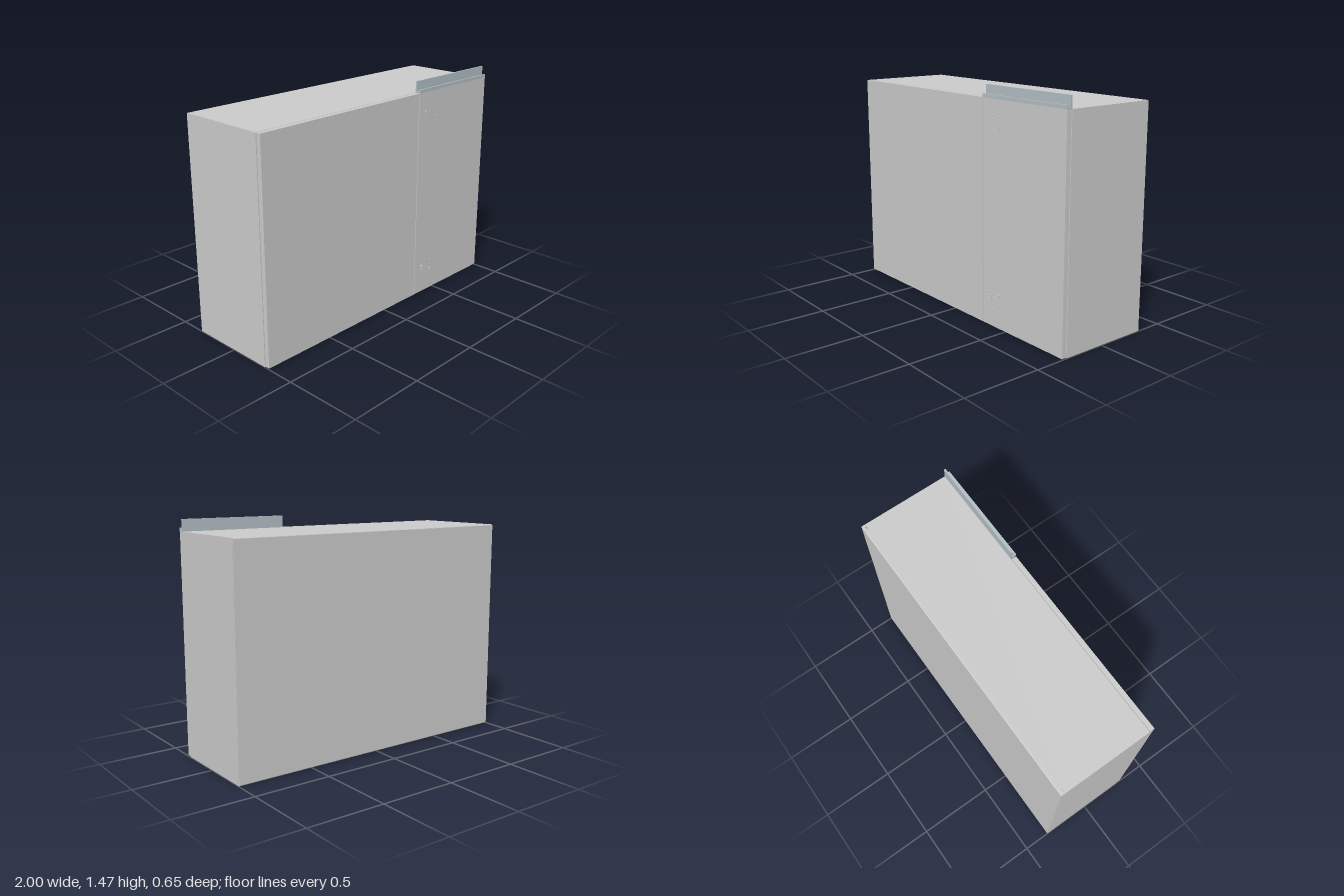
import * as THREE from 'three';

const grey = new THREE.MeshStandardMaterial({ color: 0xcccccc });
const steel = new THREE.MeshStandardMaterial({ color: 0xb4c0c6 });
const H = 1.4, BACK = -0.325, FRONT = 0.282, T = 0.008;

export function createModel() {
  const model = new THREE.Group();
  const add = (name, geometry, material = grey) => {
    const mesh = new THREE.Mesh(geometry, material);
    mesh.name = name;
    model.add(mesh);
    return mesh;
  };
  // box given by its limits on each axis
  const box = (name, [x0, x1], [y0, y1], [z0, z1], material) =>
    add(name, new THREE.BoxGeometry(x1 - x0, y1 - y0, z1 - z0), material)
      .position.set((x0 + x1) / 2, (y0 + y1) / 2, (z0 + z1) / 2);
  // profile of [z, y] points drawn out along x
  const alongX = (points, x0, x1) =>
    new THREE.ExtrudeGeometry(new THREE.Shape(points.map(p => new THREE.Vector2(...p))),
      { depth: x1 - x0, bevelEnabled: false }).rotateY(-Math.PI / 2).translate(x1, 0, 0);

  // back panel with softened upper and lower edges
  const c = 0.006;
  add('backPanel', alongX([
    [BACK + c, 0], [BACK + T, 0], [BACK + T, H], [BACK + c, H],
    [BACK + 0.002, H - 0.002], [BACK, H - c], [BACK, c], [BACK + 0.002, 0.002],
  ], -0.998, 0.998));

  // side panels and floor
  for (const s of [-1, 1]) {
    const xs = s < 0 ? [-1, -1 + T] : [1 - T, 1];
    box(s < 0 ? 'rightSide' : 'leftSide', xs, [0.002, H - 0.002], [BACK + 0.004, FRONT]);
  }
  box('floor', [-1 + T, 1 - T], [0, T], [BACK + T, FRONT]);

  // top panel with a slotted fixing hole in each rear corner
  const top = new THREE.Shape([
    new THREE.Vector2(-0.998, BACK + T), new THREE.Vector2(0.998, BACK + T),
    new THREE.Vector2(0.998, FRONT), new THREE.Vector2(-0.998, FRONT),
  ]);
  for (const x of [-0.975, 0.975]) {
    const slot = new THREE.Path();
    slot.absellipse(x, -0.302, 0.01, 0.006, 0, Math.PI * 2, true);
    top.holes.push(slot);
  }
  add('topPanel', new THREE.ExtrudeGeometry(top, { depth: T, bevelEnabled: false, curveSegments: 8 })
    .rotateX(Math.PI / 2).translate(0, H, 0));

  // wide sliding door and narrow fixed door, separated by a thin gap
  const doorY = [0.006, H], doorZ = [FRONT + 0.004, 0.316];
  box('wideDoor', [-0.998, 0.295], doorY, doorZ);
  box('narrowDoor', [0.3, 0.998], doorY, doorZ);

  // stepped rail above the narrow door
  add('topRail', alongX([
    [0.281, H], [0.318, H], [0.318, 1.422], [0.308, 1.422],
    [0.308, 1.41], [0.292, 1.41], [0.292, 1.474], [0.281, 1.474],
  ], 0.3, 0.998), steel);

  // latch brackets and screw pairs, upper and lower
  for (const y of [0.187, 1.267]) {
    box('latchPlate', [0.355, 0.377], [y - 0.016, y + 0.016], [0.314, 0.319]);
    for (const s of [-1, 1]) {
      const ly = y + s * 0.013;
      box('latchLug', [0.357, 0.375], [ly - 0.003, ly + 0.003], [0.318, 0.325]);
      add('screw', new THREE.CylinderGeometry(0.005, 0.005, 0.011, 12).rotateX(Math.PI / 2))
        .position.set(0.455, y + s * 0.033, 0.3195);
    }
  }
  return model;
}
